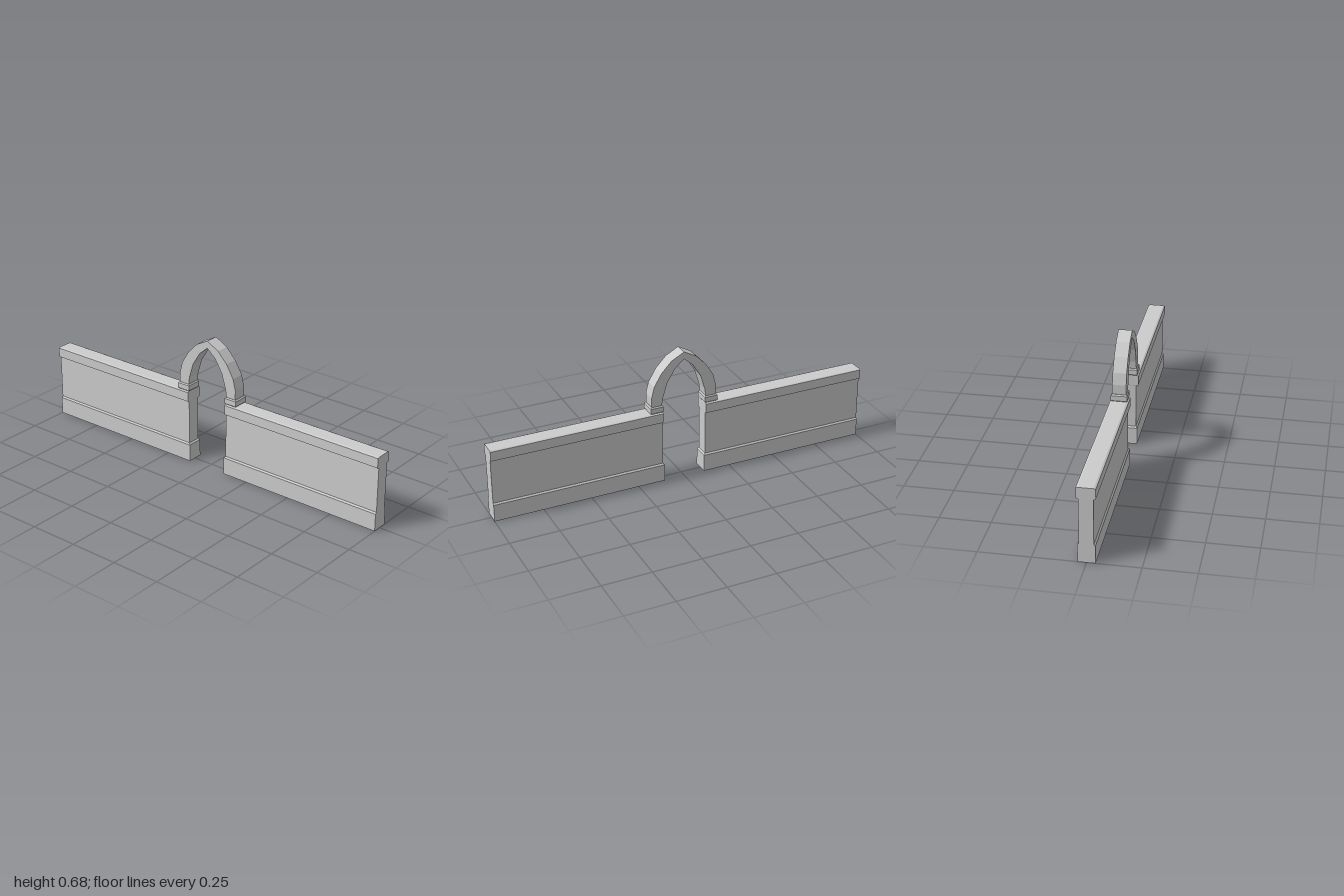
import * as THREE from 'three';

const material = new THREE.MeshStandardMaterial({ color: 0xcccccc, flatShading: true });

function addMesh(group, name, geometry) {
  const mesh = new THREE.Mesh(geometry, material);
  mesh.name = name;
  group.add(mesh);
  return mesh;
}

// Closed solid stacked from rectangles; each ring is [y, x0, x1, halfDepth]
function stackedBlock(rings) {
  const corners = rings.map(([y, x0, x1, d]) => [[x0, y, d], [x1, y, d], [x1, y, -d], [x0, y, -d]]);
  const positions = [];
  const quad = (a, b, c, d) => positions.push(...a, ...b, ...c, ...a, ...c, ...d);
  for (let i = 0; i < corners.length - 1; i++) {
    for (let k = 0; k < 4; k++) {
      const n = (k + 1) % 4;
      quad(corners[i][k], corners[i][n], corners[i + 1][n], corners[i + 1][k]);
    }
  }
  const [a, b, c, d] = corners[0];
  quad(d, c, b, a);
  quad(...corners[corners.length - 1]);
  const geometry = new THREE.BufferGeometry();
  geometry.setAttribute('position', new THREE.Float32BufferAttribute(positions, 3));
  geometry.computeVertexNormals();
  return geometry;
}

export function createModel() {
  const model = new THREE.Group();
  model.name = 'wallWithArch';

  for (const side of [-1, 1]) {
    // Order the two x limits so every block keeps outward faces
    const ring = (y, inner, outer, depth) =>
      side > 0 ? [y, inner, outer, depth] : [y, -outer, -inner, depth];
    const half = new THREE.Group();
    half.name = side > 0 ? 'leftWall' : 'rightWall';
    model.add(half);

    // Wall with chamfered plinth and projecting coping
    addMesh(half, 'wall', stackedBlock([
      ring(0, 0.108, 1, 0.041),
      ring(0.089, 0.108, 1, 0.041),
      ring(0.097, 0.116, 1, 0.034),
      ring(0.325, 0.116, 1, 0.034),
      ring(0.33, 0.115, 1, 0.045),
      ring(0.379, 0.115, 1, 0.045),
      ring(0.383, 0.116, 1, 0.036),
    ]));

    // Chamfered impost block under each arch foot
    addMesh(half, 'impost', stackedBlock([
      ring(0.382, 0.118, 0.174, 0.034),
      ring(0.388, 0.112, 0.181, 0.04),
      ring(0.414, 0.112, 0.181, 0.04),
      ring(0.42, 0.118, 0.175, 0.035),
    ]));
  }

  // Pointed arch: half outlines, mirrored about the centre
  const outer = [[0.173, 0.418], [0.173, 0.47], [0.159, 0.527], [0.119, 0.593], [0.066, 0.648], [0, 0.683]];
  const inner = [[0.119, 0.418], [0.113, 0.46], [0.09, 0.536], [0.048, 0.604], [0, 0.645]];
  const mirrored = (points) => points.slice(0, -1).reverse().map(([x, y]) => [-x, y]);
  const outline = [
    ...outer, ...mirrored(outer),
    ...mirrored(inner).reverse(), ...[...inner].reverse(),
  ];
  const shape = new THREE.Shape(outline.map(([x, y]) => new THREE.Vector2(x, y)));
  const archGeometry = new THREE.ExtrudeGeometry(shape, { depth: 0.068, bevelEnabled: false });
  archGeometry.translate(0, 0, -0.034);
  addMesh(model, 'pointedArch', archGeometry);

  return model;
}
